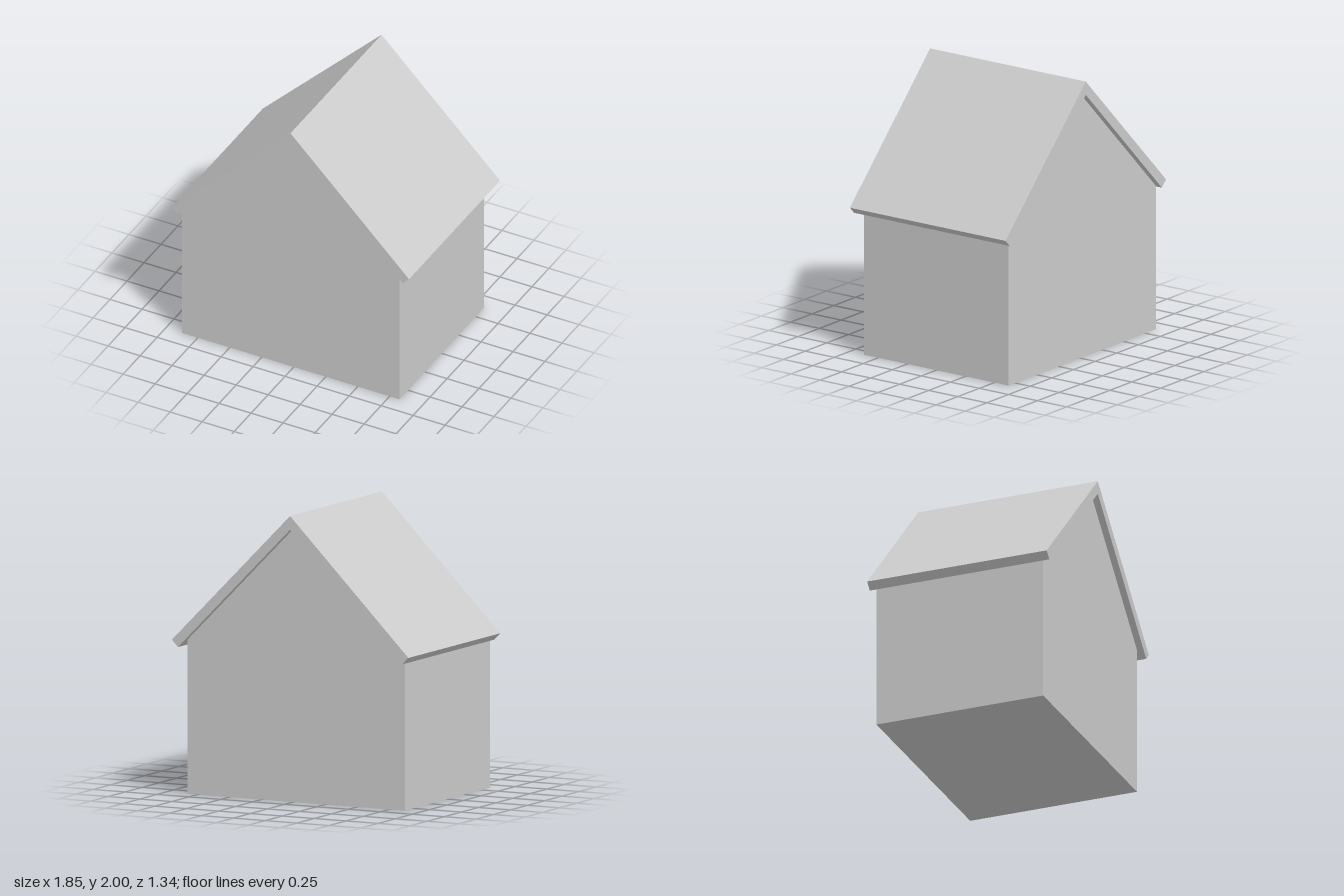
import * as THREE from 'three';

const material = new THREE.MeshStandardMaterial({ color: 0xcccccc, flatShading: true });

// Extrudes a front outline along z, centred on z = 0
function prism(name, outline, depth) {
  const shape = new THREE.Shape(outline.map(([x, y]) => new THREE.Vector2(x, y)));
  const geometry = new THREE.ExtrudeGeometry(shape, { depth, bevelEnabled: false });
  geometry.translate(0, 0, -depth / 2);
  const mesh = new THREE.Mesh(geometry, material);
  mesh.name = name;
  return mesh;
}

export function createModel() {
  const group = new THREE.Group();
  group.name = 'house';

  const ridge = 2;        // top of the roof
  const gable = 1.904;    // underside of the roof at the ridge
  const eaveX = 0.926;    // outer corner of the eaves
  const lipX = 0.878;     // lower corner of the eaves
  const wallLeft = 0.827, wallRight = -0.873;

  // Walls with gables, following the 45 degree underside of the roof
  group.add(prism('walls', [
    [wallRight, 0], [wallLeft, 0], [wallLeft, gable - wallLeft],
    [0, gable], [wallRight, gable + wallRight],
  ], 1.245));

  // Folded roof slab, overhanging front and back
  group.add(prism('roof', [
    [0, ridge], [-eaveX, ridge - eaveX], [-lipX, gable - lipX],
    [0, gable], [lipX, gable - lipX], [eaveX, ridge - eaveX],
  ], 1.34));

  return group;
}
